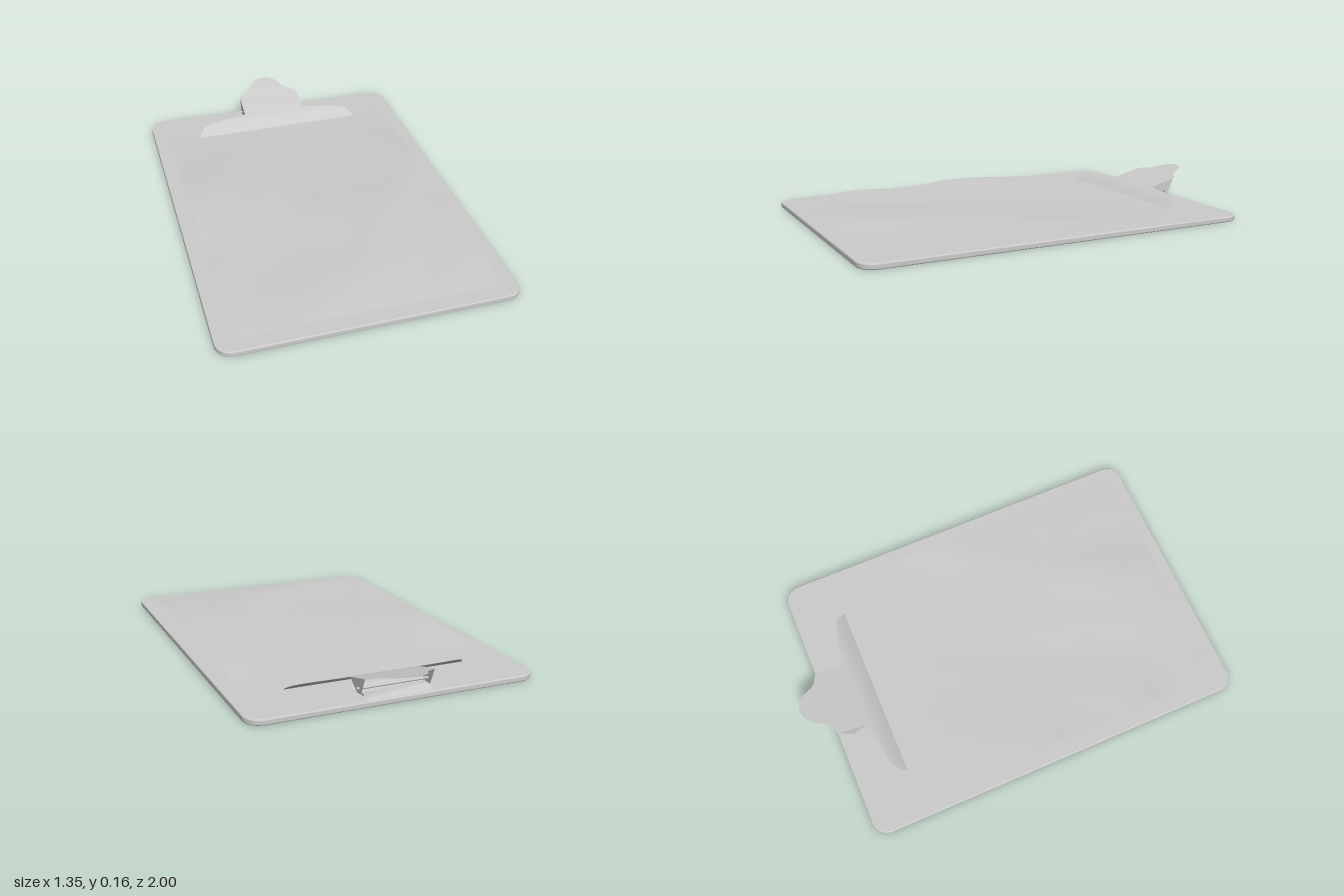
import * as THREE from 'three';

const grey = new THREE.MeshStandardMaterial({ color: 0xcccccc });
const thin = new THREE.MeshStandardMaterial({ color: 0xcccccc, side: THREE.DoubleSide });

function add(parent, name, geometry, material = thin) {
  const mesh = new THREE.Mesh(geometry, material);
  mesh.name = name;
  parent.add(mesh);
  return mesh;
}

// Open surface: place(column, row) gives a point; columns run +x, rows run +z
function surface(cols, rows, place) {
  const g = new THREE.PlaneGeometry(1, 1, cols, rows);
  const p = g.attributes.position;
  for (let i = 0; i < p.count; i++) {
    p.setXYZ(i, ...place(i % (cols + 1), Math.floor(i / (cols + 1))));
  }
  g.computeVertexNormals();
  return g;
}

// Rounded rectangle in plan
function roundedRect(hw, hd, r) {
  const s = new THREE.Shape();
  s.absarc(hw - r, hd - r, r, 0, Math.PI / 2);
  s.absarc(-hw + r, hd - r, r, Math.PI / 2, Math.PI);
  s.absarc(-hw + r, -hd + r, r, Math.PI, Math.PI * 1.5);
  s.absarc(hw - r, -hd + r, r, Math.PI * 1.5, Math.PI * 2);
  return s;
}

// Crumpled sheet, flat under the clip
function sheet(level, amplitude, seed) {
  let state = seed;
  const random = () => (state = (state * 16807) % 2147483647) / 2147483647;
  return surface(10, 10, (c, r) => {
    const x = -0.6 + c * 0.12;
    const z = -0.73 + r * 0.1665;
    const roll = 0.5 + 0.3 * Math.sin(x * 5 + z * 3 + seed) + 0.2 * Math.sin(z * 7 - x * 4);
    const fade = Math.min(1, Math.max(0, (r - 1) / 3));
    const edge = r === 10 ? 0.35 : 1;
    return [x, level + amplitude * fade * edge * (0.65 * roll + 0.35 * random()), z];
  });
}

export function createModel() {
  const model = new THREE.Group();

  // Board with softened edges
  const bevel = 0.006;
  const boardGeo = new THREE.ExtrudeGeometry(roundedRect(0.669, 0.934, 0.069), {
    depth: 0.027 - 2 * bevel, bevelThickness: bevel, bevelSize: bevel, bevelSegments: 3, curveSegments: 10,
  });
  boardGeo.rotateX(-Math.PI / 2);
  boardGeo.translate(0, bevel, 0.06);
  add(model, 'board', boardGeo, grey);

  // Paper stack
  const paper = new THREE.Group();
  paper.name = 'paper';
  model.add(paper);
  [[0.029, 0.008, 11], [0.03, 0.02, 23], [0.032, 0.045, 5]].forEach(([level, amp, seed], i) =>
    add(paper, 'sheet' + (i + 1), sheet(level, amp, seed)));

  const clip = new THREE.Group();
  clip.name = 'clip';
  model.add(clip);

  // Pressed plate: z, y, half width from the lever tip to the jaw edge
  const stations = [
    [-1, 0.156, 0.004], [-0.995, 0.155, 0.03], [-0.985, 0.152, 0.05], [-0.965, 0.147, 0.07],
    [-0.94, 0.14, 0.084], [-0.915, 0.134, 0.096], [-0.895, 0.129, 0.115], [-0.88, 0.125, 0.145],
    [-0.87, 0.122, 0.163], [-0.8, 0.104, 0.164], [-0.73, 0.085, 0.165], [-0.725, 0.083, 0.2],
    [-0.715, 0.08, 0.28], [-0.705, 0.077, 0.34], [-0.693, 0.072, 0.38], [-0.68, 0.065, 0.405],
    [-0.665, 0.056, 0.42], [-0.65, 0.046, 0.43], [-0.635, 0.035, 0.435],
  ];
  add(clip, 'clipPlate', surface(8, stations.length - 1, (c, r) => {
    const [z, y, half] = stations[r];
    return [(c / 4 - 1) * half, y, z];
  }));

  // Folded side cheeks
  const cheek = new THREE.Shape([
    [0.72, 0.082], [0.86, 0.119], [0.825, 0.038], [0.785, 0.036],
  ].map(([a, b]) => new THREE.Vector2(a, b)));
  for (const side of [-1, 1]) {
    const g = new THREE.ShapeGeometry(cheek);
    g.rotateY(Math.PI / 2);
    add(clip, side > 0 ? 'leftCheek' : 'rightCheek', g).position.x = side * 0.163;
  }

  // Fixed bracket: upright wall, foot and sloping rear lip
  const bracket = [[-0.87, 0.028], [-0.82, 0.045], [-0.815, 0.03], [-0.722, 0.03], [-0.72, 0.081]];
  add(clip, 'bracket', surface(1, bracket.length - 1, (c, r) =>
    [(c * 2 - 1) * 0.155, bracket[r][1], bracket[r][0]]));

  // Hinge pin and flat mounting ears
  const pin = new THREE.CylinderGeometry(0.006, 0.006, 0.35, 10);
  pin.rotateZ(Math.PI / 2);
  add(clip, 'hingePin', pin, grey).position.set(0, 0.06, -0.805);
  const ears = new THREE.ShapeGeometry(roundedRect(0.205, 0.025, 0.024));
  ears.rotateX(-Math.PI / 2);
  add(clip, 'mountingEars', ears).position.set(0, 0.028, -0.805);

  return model;
}
